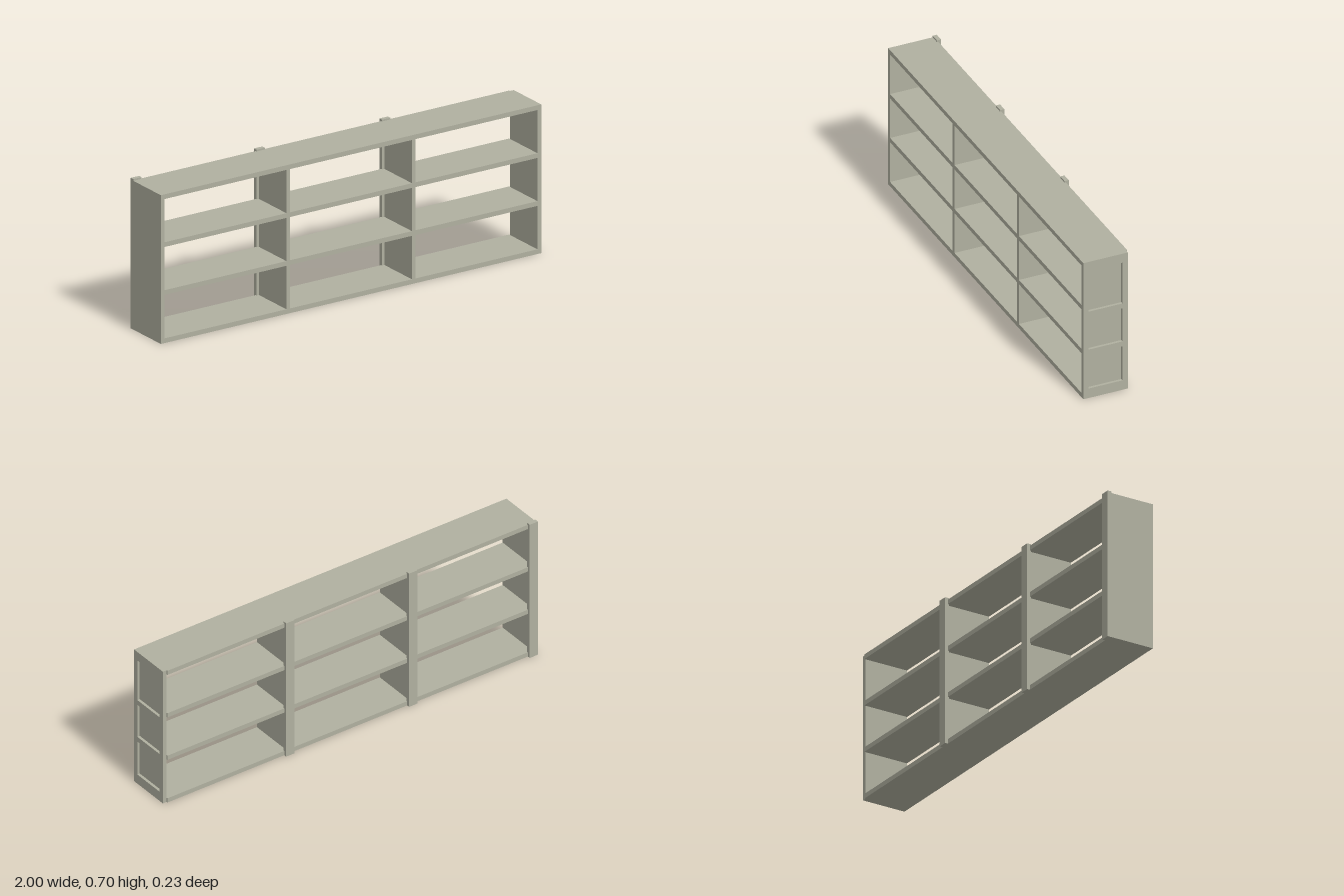
import * as THREE from 'three';

export function createModel() {
  const group = new THREE.Group();
  group.name = 'shelvingUnit';
  const paint = new THREE.MeshStandardMaterial({ color: 0xb0b0a0 });
  paint.name = 'greyGreenPaint';

  // Box given by its lower and upper limits on each axis
  const box = (name, [x0, x1], [y0, y1], [z0, z1]) => {
    const mesh = new THREE.Mesh(new THREE.BoxGeometry(x1 - x0, y1 - y0, z1 - z0), paint);
    mesh.position.set((x0 + x1) / 2, (y0 + y1) / 2, (z0 + z1) / 2);
    mesh.name = name;
    group.add(mesh);
  };

  const front = 0.117, panelBack = -0.097, shelfBack = -0.103, height = 0.692;
  const board = 0.022;
  const levels = [0, 0.224, 0.447, height - board];

  // Long horizontal boards
  levels.forEach((y, i) =>
    box(['bottomBoard', 'lowerShelf', 'upperShelf', 'topBoard'][i],
      [-0.98, 0.98], [y, y + board], [shelfBack, front]));

  // Inner dividers, one piece per bay
  for (const x of [-0.33, 0.33]) {
    for (let i = 0; i < 3; i++) {
      box('divider', [x - 0.01, x + 0.01], [levels[i] + board, levels[i + 1]], [panelBack, front]);
    }
  }

  // Plain end panel
  box('rightEndPanel', [-1, -0.98], [0, height], [panelBack, front]);

  // Panelled end: thin backing sheet with a frame of three openings
  box('leftEndBacking', [0.98, 0.987], [0, height], [panelBack, front]);
  const rect = (path, u0, u1, v0, v1) =>
    path.moveTo(u0, v0).lineTo(u1, v0).lineTo(u1, v1).lineTo(u0, v1).closePath();
  const outline = new THREE.Shape();
  rect(outline, -front, -panelBack, 0, height);
  for (const [v0, v1] of [[0.048, 0.221], [0.246, 0.414], [0.439, 0.647]]) {
    const hole = new THREE.Path();
    rect(hole, -0.093, 0.071, v0, v1);
    outline.holes.push(hole);
  }
  const frame = new THREE.Mesh(
    new THREE.ExtrudeGeometry(outline, { depth: 0.013, bevelEnabled: false }), paint);
  frame.rotation.y = Math.PI / 2;
  frame.position.x = 0.987;
  frame.name = 'leftEndFrame';
  group.add(frame);

  // Upright posts on the back, slightly taller than the case
  for (const x of [-0.978, -0.33, 0.33]) {
    box('backPost', [x - 0.022, x + 0.022], [0, 0.7], [-0.117, panelBack]);
  }
  return group;
}
